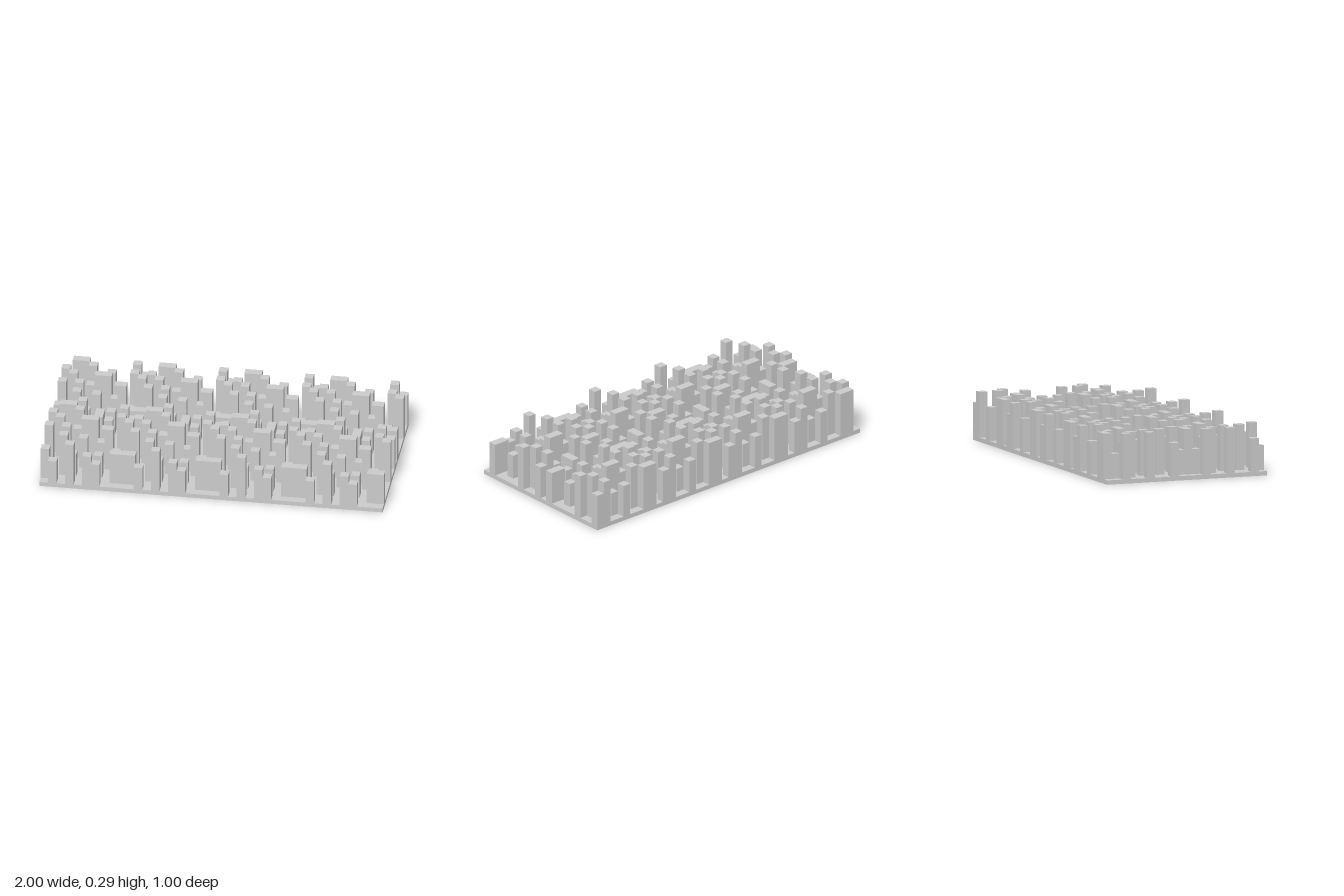
import * as THREE from 'three';

const CELL = 0.05, BASE = 0.025, COLS = 40, ROWS = 20;
const TOPS = { 1: 0.17, 2: 0.22, 3: 0.29 };

// One city district, back row first; digits pick a tower height, dots are open ground
const DISTRICT = [
  '.33..2..32',
  '.1.3..1...',
  '3.......3.',
  '.3.233...3',
  '......1...',
  '3.3.2..3..',
  '........1.',
  '..31..1...',
  '2.......22',
  '.1.3.21...',
];

export function createModel() {
  const model = new THREE.Group();
  model.name = 'blockCity';
  const material = new THREE.MeshStandardMaterial({ color: 0xcccccc, flatShading: true });

  function box(name, w, h, d, x, y, z, parent) {
    const mesh = new THREE.Mesh(new THREE.BoxGeometry(w, h, d), material);
    mesh.name = name;
    mesh.position.set(x, y + h / 2, z);
    parent.add(mesh);
  }

  // Ground slab
  box('groundSlab', COLS * CELL, BASE, ROWS * CELL, 0, 0, 0, model);

  // Towers: the district repeats over the slab, equal neighbours in a row join into one block
  const towers = new THREE.Group();
  towers.name = 'towers';
  model.add(towers);
  for (let j = 0; j < ROWS; j++) {
    const row = DISTRICT[j % 10].repeat(COLS / 10);
    for (let i = 0; i < COLS;) {
      let end = i + 1;
      while (end < COLS && row[end] === row[i]) end++;
      if (row[i] !== '.') {
        const x = ((i + end) / 2 - COLS / 2) * CELL;
        const z = (j + 0.5 - ROWS / 2) * CELL;
        box('tower', (end - i) * CELL, TOPS[row[i]] - BASE, CELL, x, BASE, z, towers);
      }
      i = end;
    }
  }
  return model;
}
